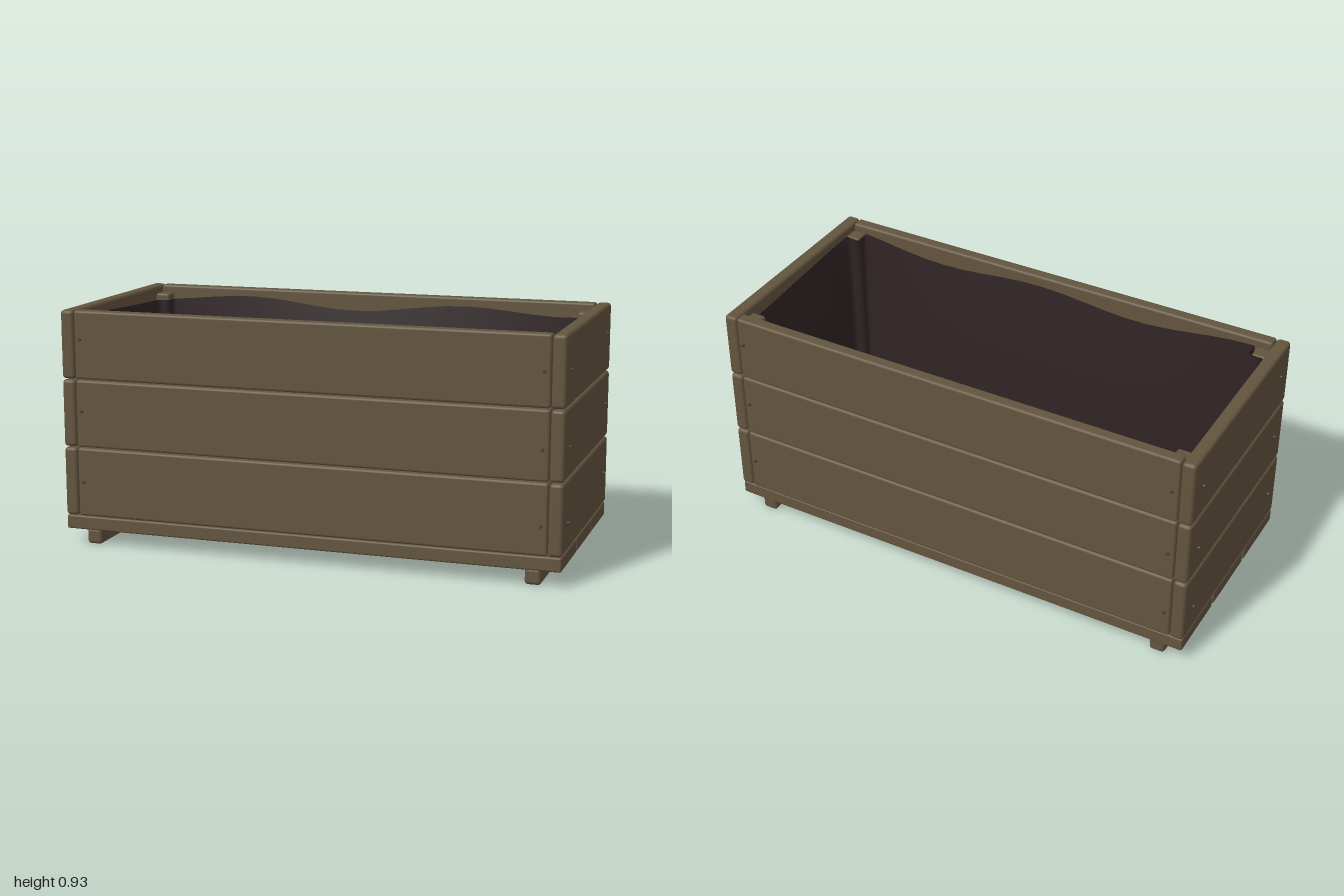
import * as THREE from 'three';
import { RoundedBoxGeometry } from 'three/addons/geometries/RoundedBoxGeometry.js';

const wood = new THREE.MeshStandardMaterial({ color: 0x63553f });
wood.name = 'weathered wood';
const cloth = new THREE.MeshStandardMaterial({ color: 0x302425, side: THREE.DoubleSide });
cloth.name = 'dark liner';
const metal = new THREE.MeshStandardMaterial({ color: 0x4a3f30 });
metal.name = 'screw metal';

// Softly rounded plank given by its min and max corners
function plank(name, [x0, y0, z0], [x1, y1, z1], radius = 0.01) {
  const geo = new RoundedBoxGeometry(x1 - x0, y1 - y0, z1 - z0, 2, radius);
  const mesh = new THREE.Mesh(geo, wood);
  mesh.position.set((x0 + x1) / 2, (y0 + y1) / 2, (z0 + z1) / 2);
  mesh.name = name;
  return mesh;
}

// Outline of the liner, stepping around the four corner posts
function linerOutline() {
  const X = 0.925, Z = 0.383, px = 0.868, pz = 0.322;
  const corners = [
    [px, Z], [px, pz], [X, pz], [X, -pz], [px, -pz], [px, -Z],
    [-px, -Z], [-px, -pz], [-X, -pz], [-X, pz], [-px, pz], [-px, Z],
  ];
  const points = [];
  corners.forEach(([ax, az], i) => {
    const [bx, bz] = corners[(i + 1) % corners.length];
    const steps = Math.max(2, Math.round(Math.hypot(bx - ax, bz - az) / 0.09));
    for (let s = 0; s < steps; s++) {
      points.push([ax + (bx - ax) * s / steps, az + (bz - az) * s / steps]);
    }
  });
  return points;
}

// Sagging cloth bag: wall rings from the rim down, then shrinking floor rings
function linerGeometry() {
  const outline = linerOutline(), n = outline.length, pos = [], index = [];
  const rings = [
    [0, 1], [0.12, 1], [0.3, 1], [0.5, 1], [0.7, 1], [0.88, 1],
    [0.97, 0.985], [1, 0.95], [1, 0.5], [1, 0.001],
  ];
  const rim = 0.89, floor = 0.13;
  for (const [t, scale] of rings) {
    for (const [x, z] of outline) {
      const midX = Math.cos(x * 1.65), midZ = Math.cos(z * 4);
      const bulge = Math.sin(Math.PI * Math.min(t * 0.8, 0.5)) * 0.045;
      const wave = (1 - t) * (0.018 * Math.sin(x * 7 + z * 3) - 0.015 * midX);
      const nx = x - Math.sign(x) * (Math.abs(x) > 0.9 ? bulge * 0.5 * midZ : 0);
      const nz = z - Math.sign(z) * (Math.abs(z) > 0.35 ? bulge * midX : 0);
      pos.push(nx * scale, rim + (floor - rim) * t + wave, nz * scale);
    }
  }
  for (let r = 0; r < rings.length - 1; r++) {
    for (let i = 0; i < n; i++) {
      const a = r * n + i, b = r * n + (i + 1) % n;
      index.push(a, b, a + n, b, b + n, a + n);
    }
  }
  const geo = new THREE.BufferGeometry();
  geo.setAttribute('position', new THREE.Float32BufferAttribute(pos, 3));
  geo.setIndex(index);
  geo.computeVertexNormals();
  return geo;
}

export function createModel() {
  const model = new THREE.Group();
  const screwGeo = new THREE.CylinderGeometry(0.006, 0.007, 0.016, 8);

  // Three courses of side boards with their screws
  const courses = [[0.117, 0.389], [0.393, 0.658], [0.662, 0.93]];
  courses.forEach(([y0, y1], row) => {
    for (const s of [-1, 1]) {
      const zIn = s > 0 ? 0.392 : -0.442, xIn = s > 0 ? 0.936 : -0.99;
      model.add(plank(s > 0 ? 'frontBoard' : 'backBoard', [-0.934, y0, zIn], [0.934, y1, zIn + 0.05]));
      model.add(plank(s > 0 ? 'leftEndBoard' : 'rightEndBoard', [xIn, y0, -0.443], [xIn + 0.054, y1, 0.445], 0.014));
      for (const e of [-1, 1]) {
        const y = 0.24 + row * 0.283 - e * s * 0.012;
        const longScrew = new THREE.Mesh(screwGeo, metal);
        longScrew.name = 'longSideScrew';
        longScrew.rotation.x = Math.PI / 2 * s;
        longScrew.position.set(e * 0.91, y, s * 0.442);
        const endScrew = new THREE.Mesh(screwGeo, metal);
        endScrew.name = 'endScrew';
        endScrew.rotation.z = -Math.PI / 2 * s;
        endScrew.position.set(s * 0.99, y, e * 0.36);
        model.add(longScrew, endScrew);
      }
    }
  });

  // Inner corner posts
  for (const sx of [-1, 1]) for (const sz of [-1, 1]) {
    const x = sx > 0 ? 0.875 : -0.937, z = sz > 0 ? 0.33 : -0.393;
    model.add(plank('cornerPost', [x, 0.115, z], [x + 0.062, 0.9, z + 0.063]));
  }

  // Floor slats running the full length
  for (const [z0, z1] of [[-0.437, -0.152], [-0.14, 0.143], [0.156, 0.442]]) {
    model.add(plank('floorSlat', [-0.988, 0.061, z0], [0.988, 0.116, z1], 0.007));
  }

  // Two runners the planter stands on
  for (const x of [-0.912, 0.848]) {
    model.add(plank('runner', [x, 0, -0.42], [x + 0.062, 0.063, 0.423], 0.013));
  }

  const liner = new THREE.Mesh(linerGeometry(), cloth);
  liner.name = 'liner';
  model.add(liner);
  return model;
}
